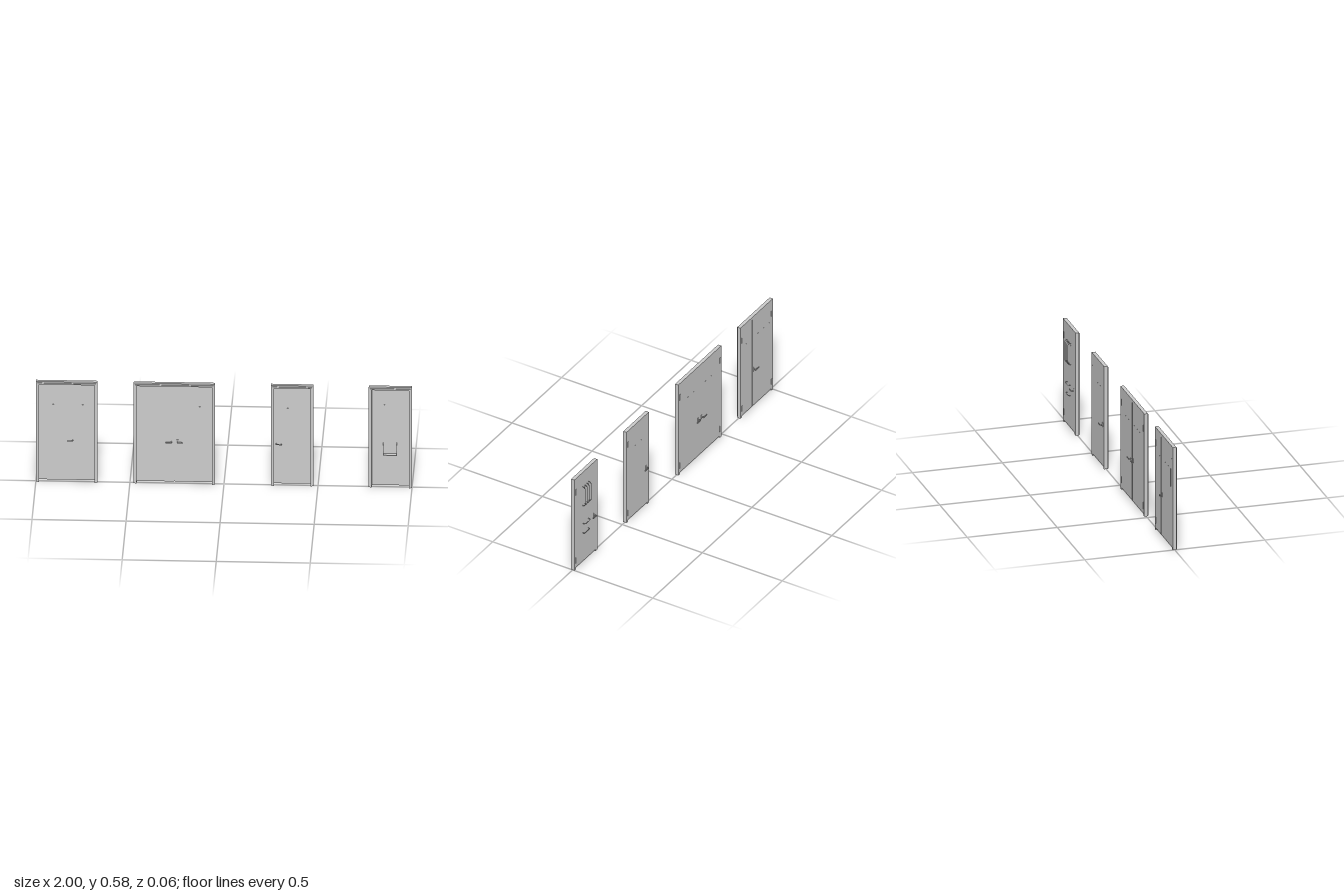
import * as THREE from 'three';

const H = 0.584, BACK = -0.011, LEAF = 0.005;
const mat = new THREE.MeshStandardMaterial({ color: 0xcccccc });

function add(parent, name, geo) {
  const m = new THREE.Mesh(geo, mat);
  m.name = name;
  parent.add(m);
  return m;
}

// Box given by its min and max corners
function box(parent, name, x0, x1, y0, y1, z0, z1) {
  const m = add(parent, name, new THREE.BoxGeometry(x1 - x0, y1 - y0, z1 - z0));
  m.position.set((x0 + x1) / 2, (y0 + y1) / 2, (z0 + z1) / 2);
  return m;
}

// Upside-down U outline, extruded from z0 to z1
function surround(parent, name, x0, x1, top, wall, headY, z0, z1) {
  const s = new THREE.Shape([
    [x0, 0], [x0 + wall, 0], [x0 + wall, headY], [x1 - wall, headY],
    [x1 - wall, 0], [x1, 0], [x1, top], [x0, top],
  ].map(([x, y]) => new THREE.Vector2(x, y)));
  const g = new THREE.ExtrudeGeometry(s, { depth: z1 - z0, bevelEnabled: false });
  g.translate(0, 0, z0);
  add(parent, name, g);
}

// Lever handle; dir is the way the lever points, side is +1 front or -1 back
function lever(parent, x, dir, side) {
  const g = new THREE.Group();
  g.name = 'leverHandle';
  g.position.set(x, 0.244, side > 0 ? LEAF : BACK);
  g.scale.set(dir, 1, side);
  parent.add(g);
  box(g, 'handlePlate', -0.005, 0.005, -0.012, 0.012, 0, 0.002);
  const neck = add(g, 'neck', new THREE.CylinderGeometry(0.003, 0.003, 0.014, 10));
  neck.rotation.x = Math.PI / 2;
  neck.position.z = 0.008;
  box(g, 'grip', -0.003, 0.031, -0.003, 0.003, 0.013, 0.017);
}

// Bent rod from a to b standing off the back face
function pull(parent, name, a, b, reach, radius) {
  const out = new THREE.Vector3(0, 0, -reach);
  const u = b.clone().sub(a).normalize().multiplyScalar(0.011);
  const o = out.clone().multiplyScalar(0.3);
  const p = new THREE.CurvePath();
  const a1 = a.clone().add(out), b1 = b.clone().add(out);
  const aIn = a.clone().add(o), bIn = b.clone().add(o);
  const a2 = a1.clone().add(u), b2 = b1.clone().sub(u);
  p.add(new THREE.LineCurve3(a, aIn));
  p.add(new THREE.QuadraticBezierCurve3(aIn, a1, a2));
  p.add(new THREE.LineCurve3(a2, b2));
  p.add(new THREE.QuadraticBezierCurve3(b2, b1, bIn));
  p.add(new THREE.LineCurve3(bIn, b));
  add(parent, name, new THREE.TubeGeometry(p, 40, radius, 8));
}

// Frame, leaves, panes, hinges and levers of one doorway
function door({ name, x0, x1, split, panes, hinges, levers, paneY = 0.35 }) {
  const g = new THREE.Group();
  g.name = name;
  surround(g, 'frame', x0, x1, H, 0.016, 0.568, BACK, 0.009);
  surround(g, 'frameLip', x0 + 0.008, x1 - 0.008, 0.576, 0.008, 0.568, 0.009, 0.015);

  const a = x0 + 0.016, b = x1 - 0.016;
  const spans = split === undefined ? [[a, b]] : [[a, split - 0.002], [split + 0.002, b]];
  for (const [l, r] of spans) box(g, 'leaf', l, r, 0.012, 0.568, BACK, LEAF);
  if (split !== undefined) box(g, 'meetingStrip', split - 0.002, split + 0.002, 0.012, 0.568, -0.0095, 0.002);

  for (const [l, r] of panes)
    box(g, 'windowPane', l, r, paneY, paneY + 0.1, BACK - 0.0003, LEAF + 0.0003);
  for (const x of hinges)
    for (const y of [0.057, 0.497])
      box(g, 'hinge', x - 0.003, x + 0.003, y - 0.018, y + 0.018, BACK - 0.002, BACK);
  for (const [x, dir, sides] of levers)
    for (const s of sides) lever(g, x, dir, s);
  return g;
}

// Barred door fittings: window bars, pulls and the pass-through hopper
function cellFittings(g) {
  const V = (x, y) => new THREE.Vector3(x, y, BACK);
  for (let i = 0; i < 4; i++) {
    const x = 0.858 + i * 0.02;
    pull(g, 'windowBar', V(x, 0.372), V(x, 0.492), 0.016, 0.0016);
  }
  pull(g, 'hatchPull', V(0.86, 0.255), V(0.915, 0.255), 0.016, 0.0016);
  pull(g, 'lowerPull', V(0.86, 0.194), V(0.915, 0.194), 0.011, 0.0018);

  // Cheek outline runs in z (as -x before turning) and y
  const cheek = new THREE.Shape([
    [0, 0.195], [0.025, 0.195], [0.025, 0.222], [0.01, 0.248], [0, 0.262],
  ].map(([z, y]) => new THREE.Vector2(-z, y)));
  for (const x of [0.847, 0.919]) {
    const c = new THREE.ExtrudeGeometry(cheek, { depth: 0.002, bevelEnabled: false });
    c.rotateY(Math.PI / 2);
    c.translate(x - 0.001, 0, LEAF);
    add(g, 'hopperCheek', c);
  }
  box(g, 'hopperFloor', 0.846, 0.92, 0.195, 0.197, LEAF, 0.03);
  box(g, 'hopperBack', 0.846, 0.92, 0.195, 0.284, LEAF, LEAF + 0.001);
}

export function createModel() {
  const model = new THREE.Group();
  model.name = 'doorSet';
  const both = [1, -1];

  model.add(door({
    name: 'unequalDoubleDoor', x0: -1, x1: -0.673, split: -0.79,
    panes: [[-0.963, -0.83], [-0.765, -0.73]],
    hinges: [-0.985, -0.688], levers: [[-0.804, -1, both]],
  }));
  model.add(door({
    name: 'doubleDoor', x0: -0.48, x1: -0.047, split: -0.2635,
    panes: [[-0.427, -0.297], [-0.23, -0.1]],
    hinges: [-0.465, -0.062], levers: [[-0.28, -1, both], [-0.247, 1, both]],
  }));
  model.add(door({
    name: 'singleDoor', x0: 0.25, x1: 0.476,
    panes: [[0.289, 0.42]], hinges: [0.461], levers: [[0.278, 1, both]],
  }));
  const cell = door({
    name: 'barredDoor', x0: 0.77, x1: 1, paneY: 0.38,
    panes: [[0.852, 0.924]], hinges: [0.985], levers: [[0.802, 1, [-1]]],
  });
  cellFittings(cell);
  model.add(cell);
  return model;
}
